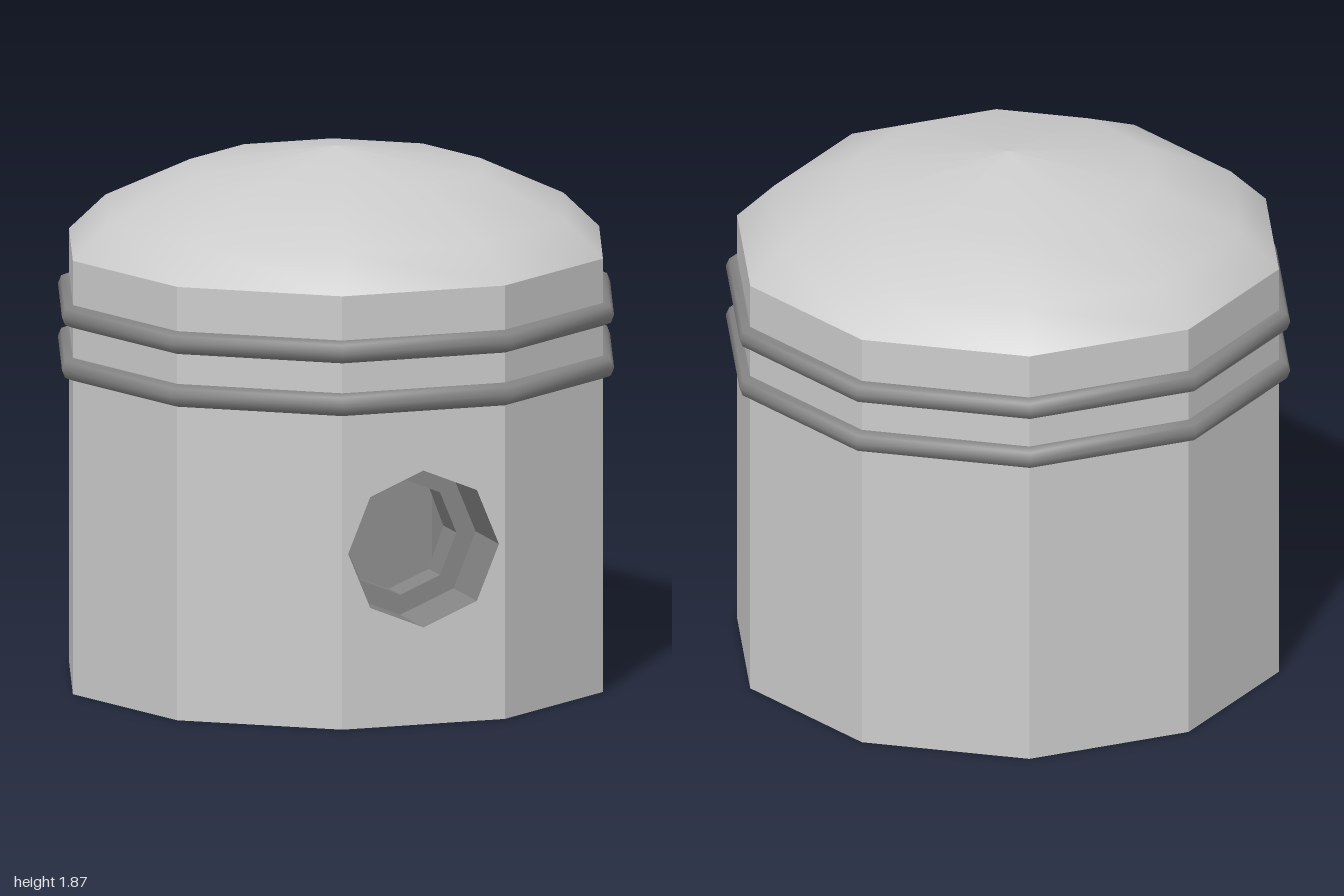
import * as THREE from 'three';
import { mergeGeometries } from 'three/addons/utils/BufferGeometryUtils.js';

const SIDES = 10, STEP = (Math.PI * 2) / SIDES;
const R = 0.96, TOP = 1.52;              // outer skirt
const CAV_R = 0.58, CAV_TOP = 1.25;      // hollow underneath
const PIN_Y = 0.615, PIN_R = 0.205, BORE_R = 0.275, BORE_Z = 0.67;
const apothem = (r) => r * Math.cos(STEP / 2);
const halfSide = (r) => r * Math.sin(STEP / 2);

const shapeOf = (pts) => new THREE.Shape(pts.map(([x, y]) => new THREE.Vector2(x, y)));
const octagon = (r) => Array.from({ length: 8 }, (_, i) =>
  [r * Math.cos(i * Math.PI / 4), PIN_Y + r * Math.sin(i * Math.PI / 4)]);

// Flat panel set at distance z from the axis, then turned about it
const panel = (shape, z, angle) => new THREE.ShapeGeometry(shape).translate(0, 0, z).rotateY(angle);

// Outer decagon wall, the front panel pierced by the pin bore
function skirtGeometry() {
  const h = halfSide(R), parts = [];
  for (let k = 0; k < SIDES; k++) {
    const s = shapeOf([[-h, 0], [h, 0], [h, TOP], [-h, TOP]]);
    if (k === 0) s.holes.push(new THREE.Path(octagon(BORE_R).map(([x, y]) => new THREE.Vector2(x, y))));
    parts.push(panel(s, apothem(R), k * STEP));
  }
  return mergeGeometries(parts);
}

// Inward-facing cavity wall; the pin hole is a bit wider than its front panel,
// so it also nicks the two neighbouring panels
function cavityGeometry() {
  const h = halfSide(CAV_R), z = -apothem(CAV_R), parts = [];
  const c = PIN_R * Math.SQRT1_2;
  const cut = c * (PIN_R - h) / (PIN_R - c);       // half height of the hole at the panel edge
  const nick = (PIN_R - h) / Math.cos(STEP);
  for (let k = 0; k < SIDES; k++) {
    const angle = Math.PI + k * STEP;
    if (k === 0) {
      for (const [s, end] of [[1, CAV_TOP], [-1, 0]]) {
        parts.push(panel(shapeOf([[-h, end], [h, end], [h, PIN_Y + s * cut], [c, PIN_Y + s * c],
          [0, PIN_Y + s * PIN_R], [-c, PIN_Y + s * c], [-h, PIN_Y + s * cut]]), z, angle));
      }
    } else if (k === 1 || k === SIDES - 1) {
      const e = k === 1 ? 1 : -1;
      parts.push(panel(shapeOf([[-e * h, 0], [e * h, 0], [e * h, PIN_Y - cut], [e * (h - nick), PIN_Y],
        [e * h, PIN_Y + cut], [e * h, CAV_TOP], [-e * h, CAV_TOP]]), z, angle));
    } else {
      parts.push(panel(shapeOf([[-h, 0], [h, 0], [h, CAV_TOP], [-h, CAV_TOP]]), z, angle));
    }
  }
  parts.push(new THREE.CircleGeometry(CAV_R, SIDES).rotateX(Math.PI / 2).translate(0, CAV_TOP, 0));
  return mergeGeometries(parts);
}

// Open octagonal tube along z
const tube = (r, z0, z1) => new THREE.CylinderGeometry(r, r, z1 - z0, 8, 1, true)
  .rotateX(Math.PI / 2).translate(0, PIN_Y, (z0 + z1) / 2);

// Stepped bore: wide counterbore, flat shoulder, narrower hole into the cavity
function boreGeometry() {
  const a = apothem(CAV_R), inner = tube(PIN_R, a, BORE_Z), p = inner.attributes.position;
  for (let i = 0; i < p.count; i++) {
    const over = Math.abs(p.getX(i)) - halfSide(CAV_R);
    if (p.getZ(i) < a + 0.01 && over > 0) p.setZ(i, a - over * Math.tan(STEP));
  }
  return mergeGeometries([
    tube(BORE_R, BORE_Z, apothem(R)),
    new THREE.RingGeometry(PIN_R, BORE_R, 8).translate(0, PIN_Y, BORE_Z),
    inner,
  ]);
}

export function createModel() {
  const piston = new THREE.Group();
  piston.name = 'piston';
  const metal = new THREE.MeshStandardMaterial({ color: 0xcccccc });
  const flat = new THREE.MeshStandardMaterial({ color: 0xcccccc, flatShading: true });
  const dark = new THREE.MeshStandardMaterial({ color: 0x858585 });
  const darkFlat = new THREE.MeshStandardMaterial({ color: 0x858585, flatShading: true, side: THREE.DoubleSide });
  const add = (name, geometry, material) => {
    const mesh = new THREE.Mesh(geometry, material);
    mesh.name = name;
    piston.add(mesh);
    return mesh;
  };

  add('skirt', skirtGeometry(), flat);
  add('bottomRim', new THREE.RingGeometry(CAV_R, R, SIDES).rotateX(Math.PI / 2), flat);
  add('cavity', cavityGeometry(), darkFlat);
  add('pinBore', boreGeometry(), darkFlat);

  // Smooth domed crown
  const profile = [[R, TOP], [0.83, 1.645], [0.525, 1.787], [0, 1.865]].map(([x, y]) => new THREE.Vector2(x, y));
  add('crown', new THREE.LatheGeometry(profile, SIDES, Math.PI / 2), metal);

  // Two piston rings
  for (const [name, y] of [['upperRing', 1.325], ['lowerRing', 1.14]]) {
    add(name, new THREE.TorusGeometry(R, 0.04, 8, SIDES).rotateX(Math.PI / 2), dark).position.y = y;
  }
  return piston;
}
